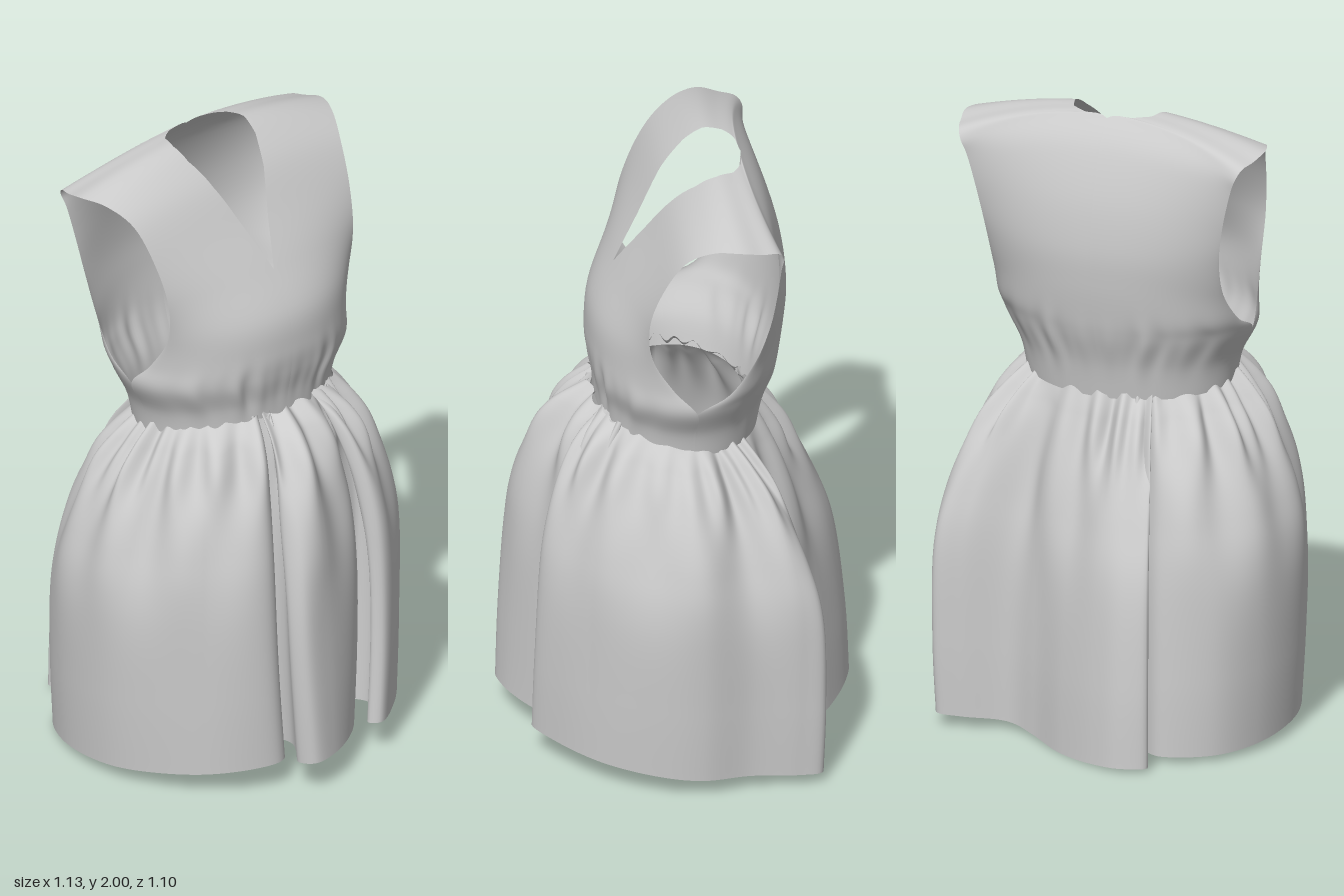
import * as THREE from 'three';

const cloth = new THREE.MeshStandardMaterial({ color: 0xcccccc, side: THREE.DoubleSide, roughness: 0.9 });

// Smoothly samples a table of rows at k in 0..1; one column may stay linear
function sample(rows, k, linear = -1) {
  const n = rows.length - 1, f = Math.min(Math.max(k, 0), 1) * n;
  const i = Math.min(Math.floor(f), n - 1), t = f - i;
  const at = (j) => rows[Math.min(Math.max(j, 0), n)];
  return rows[i].map((p1, c) => {
    const p0 = at(i - 1)[c], p2 = at(i + 1)[c], p3 = at(i + 2)[c];
    if (c === linear) return p1 + (p2 - p1) * t;
    return p1 + 0.5 * t * (p2 - p0 + t * (2 * p0 - 5 * p1 + 4 * p2 - p3 + t * (3 * (p1 - p2) + p3 - p0)));
  });
}

// Bell curve around a centre
const bell = (x, centre, width) => Math.exp(-(((x - centre) / width) ** 2));

// Grid surface from fn(u, v) -> [x, y, z]; wrap closes it along u
function surface(name, nu, nv, fn, wrap = false) {
  const pos = [], idx = [], cols = wrap ? nu : nu + 1;
  for (let j = 0; j <= nv; j++)
    for (let i = 0; i < cols; i++) pos.push(...fn(i / nu, j / nv));
  for (let j = 0; j < nv; j++)
    for (let i = 0; i < nu; i++) {
      const a = j * cols + i, b = j * cols + (i + 1) % cols;
      idx.push(a, a + cols, b, b, a + cols, b + cols);
    }
  const g = new THREE.BufferGeometry();
  g.setAttribute('position', new THREE.Float32BufferAttribute(pos, 3));
  g.setIndex(idx);
  g.computeVertexNormals();
  const mesh = new THREE.Mesh(g, cloth);
  mesh.name = name;
  return mesh;
}

// Front waist, over the shoulder, to back waist:
// neck half width, centre y, centre z, outer x, outer y, outer z, roundness
const bodiceRows = [
  [0, 1.16, 0.265, 0.335, 1.11, 0, 0.5],
  [0, 1.23, 0.27, 0.355, 1.20, 0, 0.5],
  [0, 1.31, 0.285, 0.405, 1.30, 0, 0.5],
  [0, 1.39, 0.29, 0.39, 1.38, 0.07, 0.65],
  [0, 1.50, 0.275, 0.375, 1.49, 0.135, 0.85],
  [0, 1.63, 0.205, 0.385, 1.62, 0.145, 1],
  [0.05, 1.76, 0.125, 0.405, 1.75, 0.105, 1],
  [0.105, 1.89, 0.045, 0.43, 1.86, 0.04, 1],
  [0.14, 1.965, -0.03, 0.47, 1.915, -0.04, 1],
  [0.148, 2.0, -0.09, 0.50, 1.925, -0.12, 1],
  [0.13, 2.0, -0.145, 0.49, 1.91, -0.19, 1],
  [0.08, 1.995, -0.178, 0.475, 1.90, -0.24, 1],
  [0, 1.985, -0.192, 0.46, 1.87, -0.26, 1],
  [0, 1.90, -0.25, 0.44, 1.82, -0.255, 1],
  [0, 1.75, -0.30, 0.41, 1.70, -0.245, 1],
  [0, 1.60, -0.32, 0.39, 1.58, -0.225, 0.9],
  [0, 1.48, -0.315, 0.385, 1.46, -0.18, 0.8],
  [0, 1.37, -0.30, 0.40, 1.36, -0.10, 0.6],
  [0, 1.30, -0.285, 0.405, 1.30, 0, 0.5],
  [0, 1.20, -0.255, 0.355, 1.20, 0, 0.5],
  [0, 1.09, -0.235, 0.335, 1.11, 0, 0.5],
];

function bodiceHalf(name, side) {
  return surface(name, 60, 120, (u, v) => {
    const [xi, yc, zc, xo, yo, zo, q] = sample(bodiceRows, v, 0);
    const w = Math.sin((side > 0 ? 1 - u : u) * Math.PI / 2);
    const t = xi / xo + (1 - xi / xo) * w;
    const y = yc + (yo - yc) * t * t;
    // Soft gathers just above the waist
    const gather = 0.005 * bell(y, 1.27, 0.07) * (1 - t ** 6) * Math.min(1, t * 4);
    const z = zo + (zc - zo) * Math.max(0, 1 - t ** 2.2) ** q
      + gather * (Math.cos(t * 24) + 0.6 * Math.cos(t * 39));
    return [side * xo * t, y, z];
  });
}

// Hem outline (x, z) with doubled-over folds, left to front to right to back
const hem = [
  [-0.535, -0.02], [-0.515, 0.12], [-0.41, 0.32], [-0.29, 0.42], [-0.20, 0.45], [-0.16, 0.43],
  [-0.15, 0.36], [-0.135, 0.30], [-0.09, 0.30], [-0.08, 0.37], [-0.12, 0.44], [-0.165, 0.50],
  [-0.14, 0.55], [-0.05, 0.54], [0.08, 0.47], [0.17, 0.38], [0.20, 0.30], [0.25, 0.28],
  [0.27, 0.34], [0.22, 0.40], [0.165, 0.455], [0.19, 0.485], [0.30, 0.42], [0.43, 0.29],
  [0.515, 0.12], [0.535, 0], [0.505, -0.15], [0.505, -0.30], [0.49, -0.375], [0.41, -0.37],
  [0.27, -0.33], [0.17, -0.37], [0.04, -0.46], [-0.10, -0.53], [-0.19, -0.55], [-0.275, -0.52],
  [-0.26, -0.48], [-0.18, -0.44], [-0.14, -0.39], [-0.18, -0.37], [-0.27, -0.41],
  [-0.42, -0.34], [-0.505, -0.20],
];

// Downward progress, then spread from waist to hem at sides, front and back
const spreadRows = [
  [0, 0, 0, 0], [0.06, 0.30, 0.34, 0.18], [0.15, 0.62, 0.57, 0.38], [0.33, 0.98, 0.78, 0.64],
  [0.5, 1.13, 0.88, 0.82], [0.78, 1.08, 0.96, 0.95], [1, 1, 1, 1],
];

function skirt() {
  const N = 480;
  const outline = new THREE.CatmullRomCurve3(
    hem.map(([x, z]) => new THREE.Vector3(x, 0, z)), true, 'centripetal').getSpacedPoints(N);
  return surface('skirt', N, 72, (u, v) => {
    const p = outline[Math.round(u * N)];
    const a = Math.atan2(p.z, p.x), c = Math.cos(a), s = Math.sin(a);
    const [drop, side, front, back] = sample(spreadRows, v);
    const spreadZ = s > 0 ? front : back;
    const spread = side * c * c + spreadZ * s * s;
    const wx = 0.335 * c, wz = 0.02 + 0.26 * s;
    const top = 1.145 + 0.04 * s;
    // Hem rises to the front and dips behind
    const low = 0.02 + 0.085 * Math.max(0, (p.z + 0.55) / 1.1) ** 1.5 + 0.028 * p.x
      - (s < 0 ? 0.028 * s * s * bell(p.x, 0.1, 0.25) : 0);
    // Tight pleats under the waist that open into broad soft waves
    const k = u * Math.PI * 2;
    const pleat = 0.016 * bell(drop, 0.09, 0.11)
      * (Math.sin(k * 34 + 2 * Math.sin(k * 5)) + 0.7 * Math.sin(k * 23 + 1) - 0.6);
    const wave = 0.014 * bell(drop, 0.27, 0.2)
      * (Math.sin(k * 17 + Math.sin(k * 3)) + 0.5 * Math.sin(k * 11 + 2) - 0.3);
    const r = pleat + wave;
    const ragged = 0.008 * (1 - drop) ** 12 * Math.sin(k * 31 + Math.sin(k * 7));
    // Front folds bow outward halfway down
    const bow = s > 0 && Math.abs(p.x) < 0.4
      ? 0.03 * s * Math.sin(Math.PI * drop) * Math.sin(p.x * Math.PI / 0.4) : 0;
    return [
      wx + (p.x - wx) * spread + c * r + bow,
      top + (low - top) * drop + ragged,
      wz + (p.z - wz) * spread + s * r,
    ];
  }, true);
}

export function createModel() {
  const dress = new THREE.Group();
  dress.name = 'dress';
  const bodice = new THREE.Group();
  bodice.name = 'bodice';
  bodice.add(bodiceHalf('bodiceLeft', 1), bodiceHalf('bodiceRight', -1));
  dress.add(bodice, skirt());
  return dress;
}
